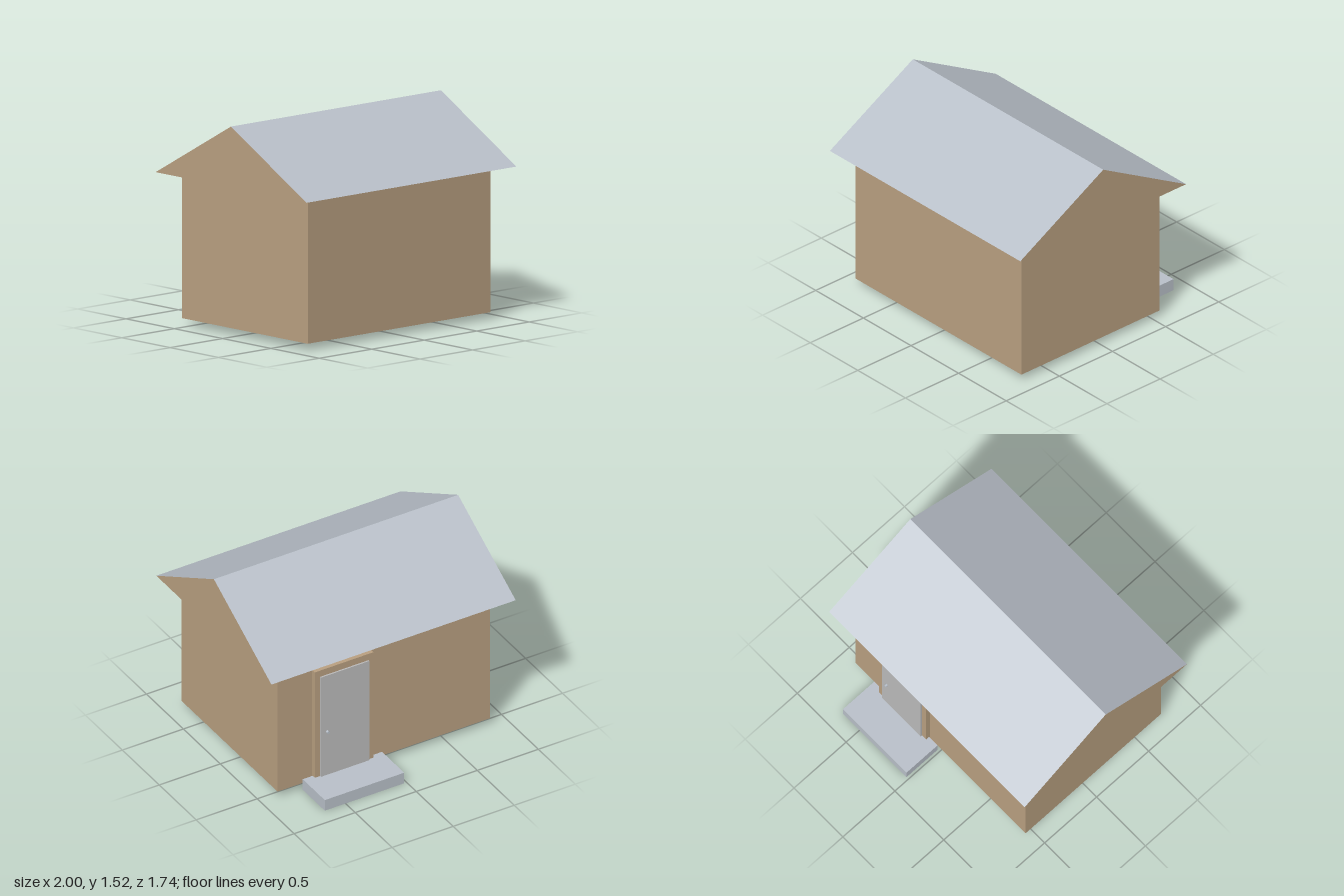
import * as THREE from 'three';

const material = (name, color, side = THREE.FrontSide) => {
  const m = new THREE.MeshStandardMaterial({ color, side });
  m.name = name;
  return m;
};

export function createModel() {
  const tan = material('tan siding', 0xb89f80, THREE.DoubleSide);
  const slate = material('blue grey', 0xb8bfc8, THREE.DoubleSide);
  const doorGrey = material('door grey', 0xbababa);

  const model = new THREE.Group();
  model.name = 'shed';

  const add = (name, geometry, mat) => {
    const mesh = new THREE.Mesh(geometry, mat);
    mesh.name = name;
    model.add(mesh);
    return mesh;
  };
  // Box given by its low and high corners
  const box = (name, mat, [x0, y0, z0], [x1, y1, z1]) =>
    add(name, new THREE.BoxGeometry(x1 - x0, y1 - y0, z1 - z0), mat)
      .position.set((x0 + x1) / 2, (y0 + y1) / 2, (z0 + z1) / 2);

  // Walls and floor
  box('walls', tan, [-0.87, 0.05, -0.56], [0.87, 1.09, 0.74]);

  // Open-bottomed roof shell: two slopes and two gable ends
  const eaveY = 1.09, ridgeY = 1.525, ridgeZ = 0.087, halfSpan = 0.78;
  const rise = ridgeY - eaveY;
  const pitch = Math.atan2(rise, halfSpan);
  for (const s of [1, -1]) {
    const slope = new THREE.PlaneGeometry(2, Math.hypot(rise, halfSpan));
    slope.rotateX(pitch - Math.PI / 2);
    if (s < 0) slope.rotateY(Math.PI);
    add(s > 0 ? 'frontRoofSlope' : 'backRoofSlope', slope, slate)
      .position.set(0, (eaveY + ridgeY) / 2, ridgeZ + s * halfSpan / 2);

    const triangle = new THREE.Shape([
      new THREE.Vector2(-halfSpan, 0),
      new THREE.Vector2(halfSpan, 0),
      new THREE.Vector2(0, rise),
    ]);
    const gable = add(s > 0 ? 'leftGable' : 'rightGable', new THREE.ShapeGeometry(triangle), tan);
    gable.rotation.y = s * Math.PI / 2;
    gable.position.set(s, eaveY, ridgeZ);
  }

  // Back entrance: casing, door leaf, knob and step
  box('doorFrame', tan, [0.107, 0.06, -0.6], [0.588, 0.99, -0.56]);
  box('door', doorGrey, [0.15, 0.065, -0.612], [0.545, 0.937, -0.59]);
  const knob = add('doorKnob', new THREE.CylinderGeometry(0.011, 0.011, 0.02, 12), slate);
  knob.rotation.x = Math.PI / 2;
  knob.position.set(0.495, 0.46, -0.621);
  box('step', slate, [0.02, 0, -0.87], [0.67, 0.09, -0.57]);

  return model;
}
